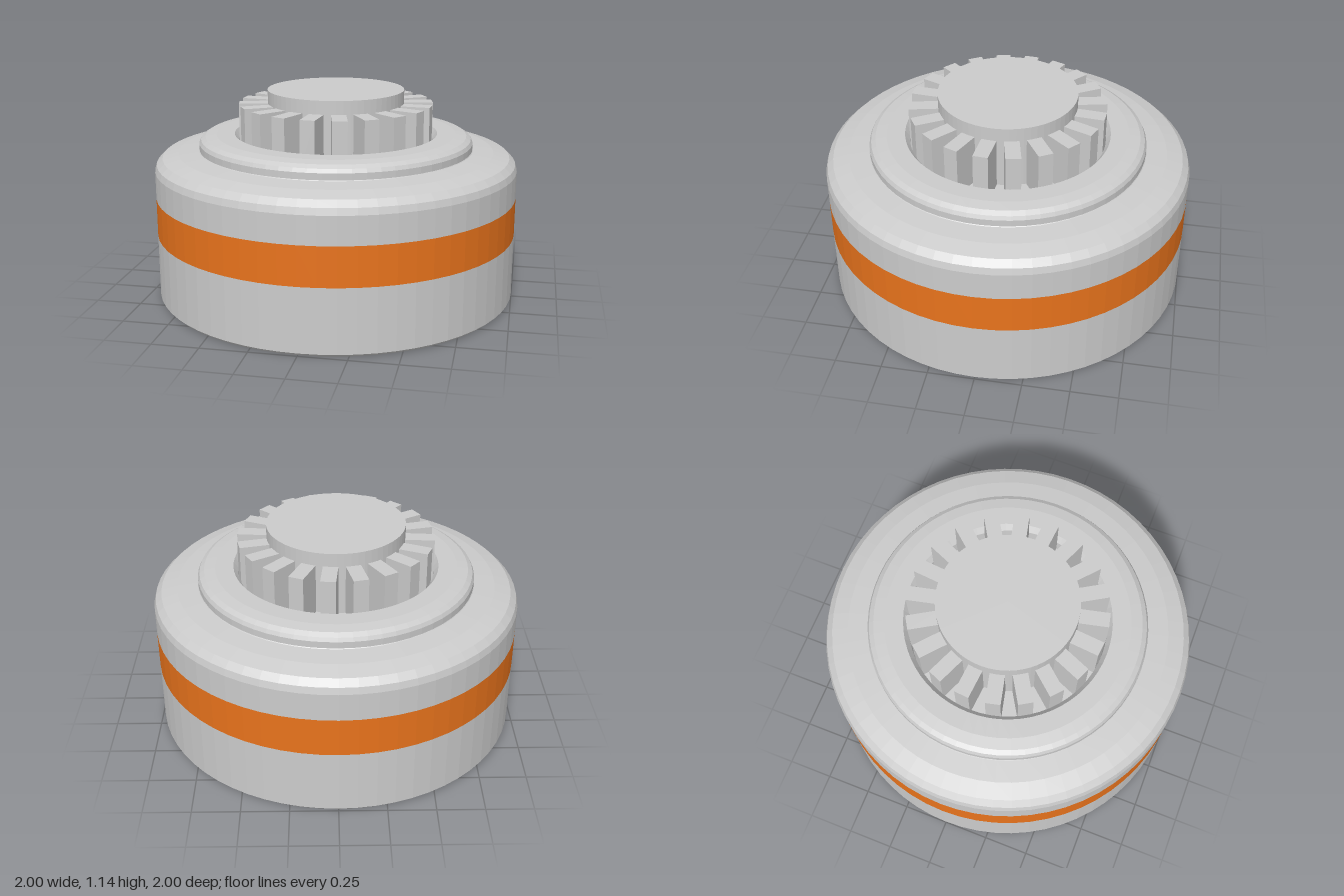
import * as THREE from 'three';

const SEGMENTS = 64;

export function createModel() {
  const model = new THREE.Group();
  const grey = new THREE.MeshStandardMaterial({ color: 0xcccccc, flatShading: true });
  const orange = new THREE.MeshStandardMaterial({ color: 0xe8731c, flatShading: true });

  const add = (name, geometry, material = grey, parent = model) => {
    const mesh = new THREE.Mesh(geometry, material);
    mesh.name = name;
    parent.add(mesh);
    return mesh;
  };
  // Profiles run from the bottom centre, up the outside, then inward.
  const turned = (name, profile, material) =>
    add(name, new THREE.LatheGeometry(profile.map(([r, y]) => new THREE.Vector2(r, y)), SEGMENTS), material);

  // Drum: closed base, coloured band and rounded shoulder
  turned('base', [[0, 0], [0.985, 0], [1, 0.015], [1, 0.36]]);
  turned('colouredBand', [[1, 0.36], [1, 0.57]], orange);
  turned('shoulder', [[1, 0.57], [1, 0.72], [0.99, 0.755], [0.957, 0.787], [0.87, 0.81], [0.755, 0.822]]);

  // Raised collar with a rounded rim and a recessed well
  turned('collar', [
    [0.765, 0.815], [0.755, 0.825], [0.755, 0.86], [0.745, 0.88], [0.72, 0.896], [0.66, 0.905],
    [0.56, 0.905], [0.535, 0.87], [0.53, 0.8], [0.37, 0.8],
  ]);

  // Central hub
  const hub = add('hub', new THREE.CylinderGeometry(0.375, 0.375, 0.35, SEGMENTS));
  hub.position.y = 0.97;

  // Ring of radial teeth around the hub
  const teeth = new THREE.Group();
  teeth.name = 'teeth';
  model.add(teeth);
  const toothGeometry = new THREE.BoxGeometry(0.19, 0.275, 0.08).translate(0.437, 0.9345, 0);
  for (let i = 0; i < 20; i++) {
    const tooth = add('tooth', toothGeometry, grey, teeth);
    tooth.rotation.y = -THREE.MathUtils.degToRad(5 + i * 18);
  }

  return model;
}
